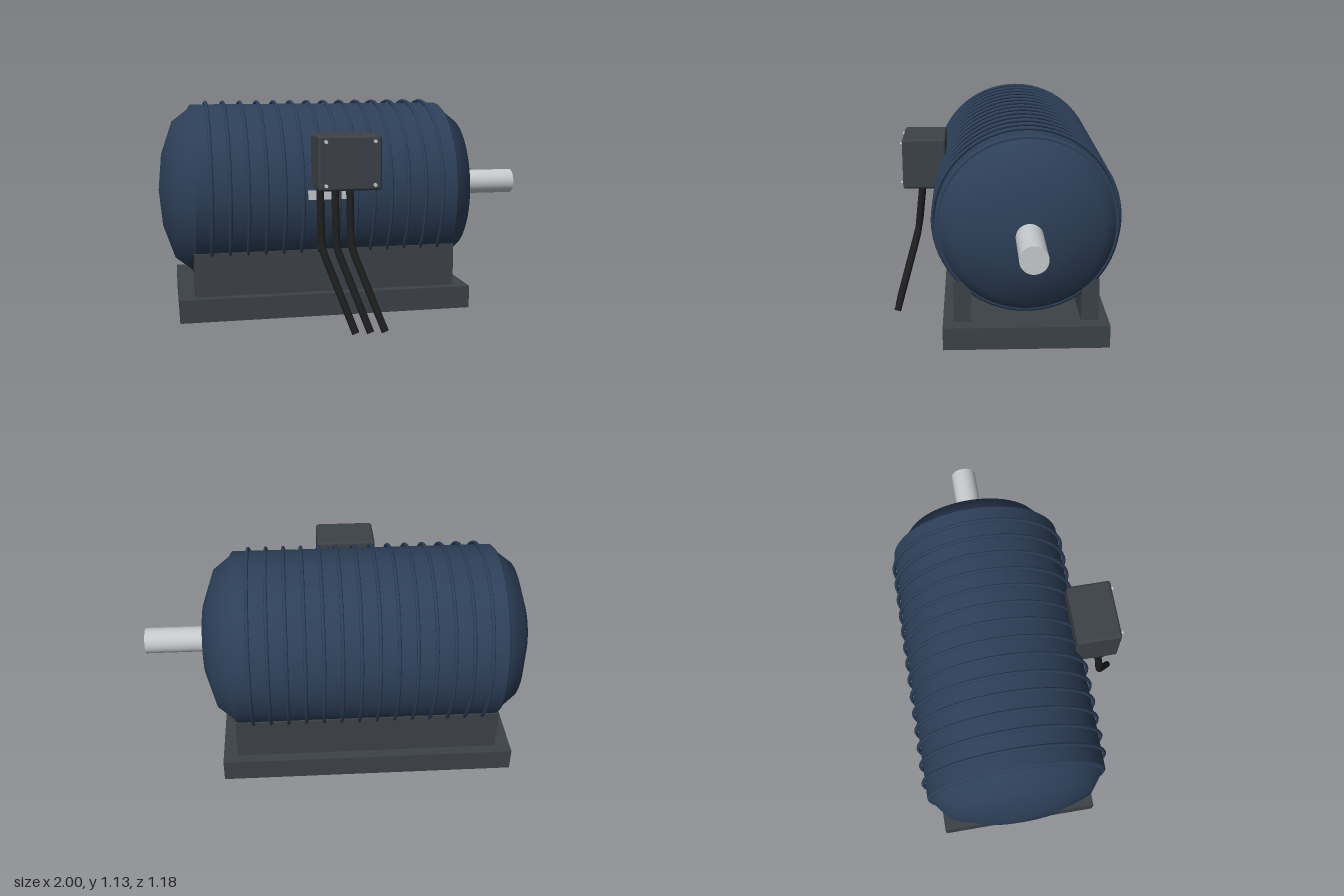
import * as THREE from 'three';
import { toCreasedNormals } from 'three/addons/utils/BufferGeometryUtils.js';
import { RoundedBoxGeometry } from 'three/addons/geometries/RoundedBoxGeometry.js';

const AXIS_Y = 0.655, AXIS_Z = -0.115; // motor axis, running along x
const LEFT_END = -0.83, RIGHT_END = 0.54;
const MID_X = (LEFT_END + RIGHT_END) / 2;

function material(name, color) {
  const m = new THREE.MeshStandardMaterial({ color });
  m.name = name;
  return m;
}

export function createModel() {
  const model = new THREE.Group();
  model.name = 'electricMotor';

  const blue = material('navyPaint', 0x2d3f58);
  const grey = material('darkGreyPaint', 0x3d4247);
  const steel = material('lightSteel', 0xc6cacd);
  const black = material('blackRubber', 0x1e1e1e);

  function add(name, geometry, mat, x, y, z) {
    const mesh = new THREE.Mesh(geometry, mat);
    mesh.name = name;
    mesh.position.set(x, y, z);
    model.add(mesh);
    return mesh;
  }
  // box given by its limits on each axis
  function box(name, mat, [x0, x1], [y0, y1], [z0, z1], radius = 0) {
    const s = [x1 - x0, y1 - y0, z1 - z0];
    const g = radius ? new RoundedBoxGeometry(...s, 3, radius) : new THREE.BoxGeometry(...s);
    return add(name, g, mat, (x0 + x1) / 2, (y0 + y1) / 2, (z0 + z1) / 2);
  }
  const profile = (pairs) => pairs.map(([r, h]) => new THREE.Vector2(r, h));

  // Housing barrel with slightly bevelled rims
  const half = (RIGHT_END - LEFT_END) / 2;
  const barrel = toCreasedNormals(new THREE.LatheGeometry(profile([
    [0, -half], [0.445, -half], [0.455, -half + 0.01],
    [0.455, half - 0.01], [0.445, half], [0, half],
  ]), 64), 0.5);
  barrel.rotateZ(-Math.PI / 2);
  add('housing', barrel, blue, MID_X, AXIS_Y, AXIS_Z);

  // Domed end bells
  const dome = new THREE.LatheGeometry(profile([
    [0.435, 0], [0.365, 0.09], [0.19, 0.15], [0, 0.168],
  ]), 64);
  for (const side of [-1, 1]) {
    const bell = add(side > 0 ? 'driveEndBell' : 'rearEndBell', dome, blue,
      side > 0 ? RIGHT_END : LEFT_END, AXIS_Y, AXIS_Z);
    bell.rotation.z = -side * Math.PI / 2;
  }

  // Cooling ribs
  const rib = new THREE.TorusGeometry(0.466, 0.009, 8, 64);
  rib.rotateY(Math.PI / 2);
  for (let i = 0; i < 14; i++) {
    add('coolingRib', rib, blue, -0.74 + i * 0.0914, AXIS_Y, AXIS_Z);
  }

  // Output shaft
  const shaft = new THREE.CylinderGeometry(0.067, 0.067, 0.4, 32);
  shaft.rotateZ(Math.PI / 2);
  add('shaft', shaft, steel, 0.8, AXIS_Y, AXIS_Z);

  // Base and mounting feet
  box('basePlate', grey, [-0.91, 0.615], [0.03, 0.148], [-0.53, 0.307]);
  box('frontFoot', grey, [LEFT_END, RIGHT_END], [0.14, 0.37], [0.165, 0.253]);
  box('backFoot', grey, [LEFT_END, RIGHT_END], [0.14, 0.37], [-0.478, -0.39]);

  // Nameplate on the housing
  box('nameplate', steel, [-0.26, -0.032], [0.645, 0.692], [0.338, 0.346]);

  // Terminal box with corner screws
  box('terminalBox', grey, [-0.238, 0.078], [0.71, 0.98], [0.29, 0.52], 0.014);
  const screw = new THREE.CylinderGeometry(0.009, 0.009, 0.02, 12);
  screw.rotateX(Math.PI / 2);
  for (const x of [-0.202, 0.042]) {
    for (const y of [0.737, 0.951]) add('screw', screw, steel, x, y, 0.521);
  }

  // Supply cables: straight drop, soft bend, then a slanted run to the ground
  const bend = new THREE.Vector3(0, 0.42, 0.455);
  const top = new THREE.Vector3(0, 0.73, 0.42);
  const end = new THREE.Vector3(0.148, 0.008, 0.574);
  const a = bend.clone().lerp(top, 0.15), b = bend.clone().lerp(end, 0.12);
  const path = new THREE.CurvePath();
  path.add(new THREE.LineCurve3(top, a));
  path.add(new THREE.QuadraticBezierCurve3(a, bend, b));
  path.add(new THREE.LineCurve3(b, end));
  const cable = new THREE.TubeGeometry(path, 40, 0.019, 14);
  const cableEnd = new THREE.CircleGeometry(0.019, 14);
  const down = end.clone().sub(b).normalize();
  for (const x of [-0.214, -0.139, -0.064]) {
    add('cable', cable, black, x, 0, 0);
    const cap = add('cableEnd', cableEnd, black, x + end.x, end.y, end.z);
    cap.quaternion.setFromUnitVectors(new THREE.Vector3(0, 0, 1), down);
  }

  return model;
}
